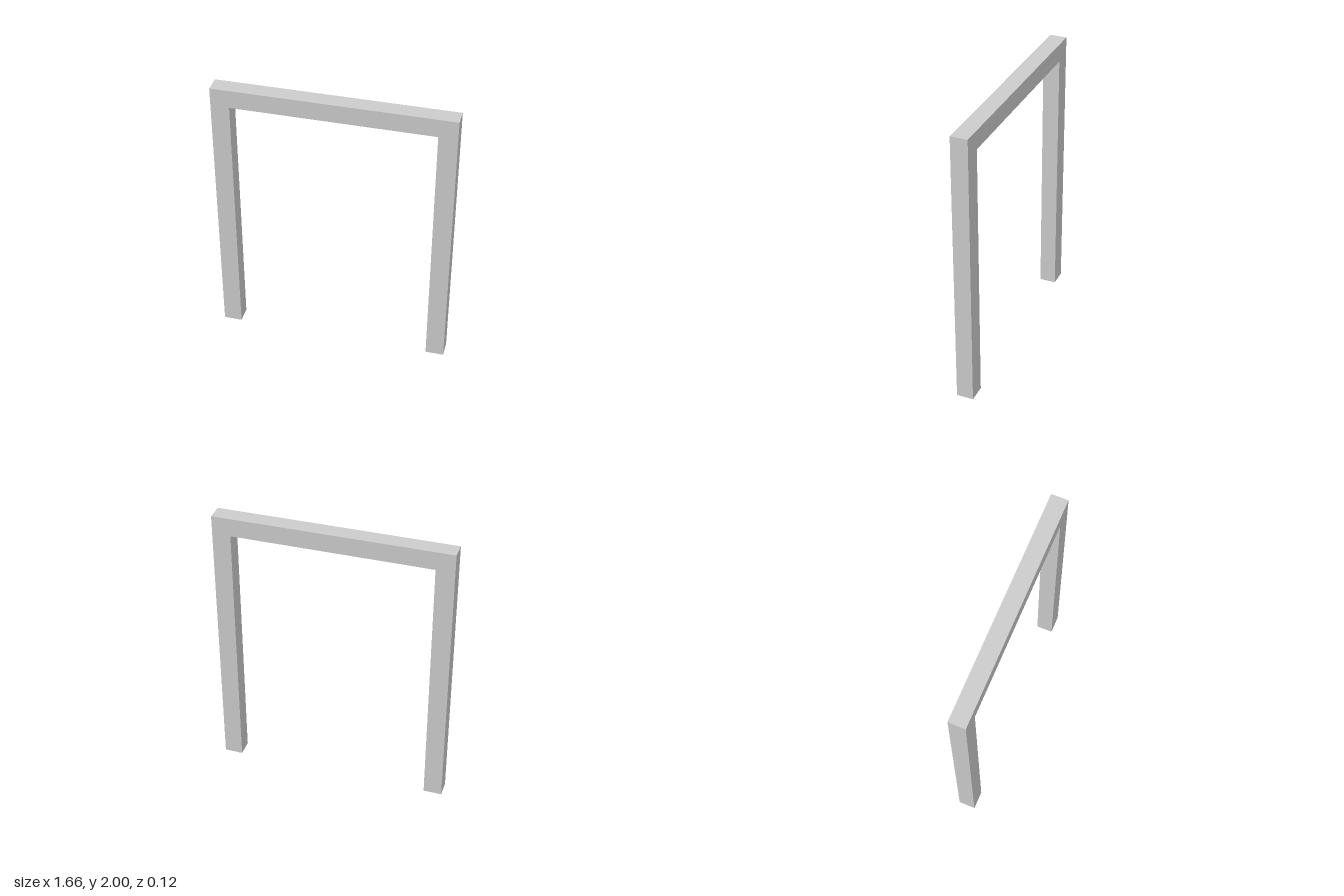
import * as THREE from 'three';

const HEIGHT = 2;
const HALF = 0.83;   // half of the outer width
const BAR = 0.13;    // width of each bar seen from the front
const DEPTH = 0.12;

const material = new THREE.MeshStandardMaterial({ color: 0xcccccc, flatShading: true });

// Bar with a mitred outline, extruded evenly about z = 0
function bar(name, corners) {
  const shape = new THREE.Shape(corners.map(([x, y]) => new THREE.Vector2(x, y)));
  const geometry = new THREE.ExtrudeGeometry(shape, { depth: DEPTH, bevelEnabled: false });
  geometry.translate(0, 0, -DEPTH / 2);
  const mesh = new THREE.Mesh(geometry, material);
  mesh.name = name;
  return mesh;
}

export function createModel() {
  const group = new THREE.Group();
  group.name = 'doorFrame';
  const inner = HALF - BAR;
  const under = HEIGHT - BAR;

  // Uprights, cut at 45 degrees at the top
  for (const [name, s] of [['leftPost', 1], ['rightPost', -1]]) {
    group.add(bar(name, [[s * inner, 0], [s * HALF, 0], [s * HALF, HEIGHT], [s * inner, under]]));
  }

  // Head bar, mitred at both ends
  group.add(bar('topBeam', [[-inner, under], [inner, under], [HALF, HEIGHT], [-HALF, HEIGHT]]));

  return group;
}
